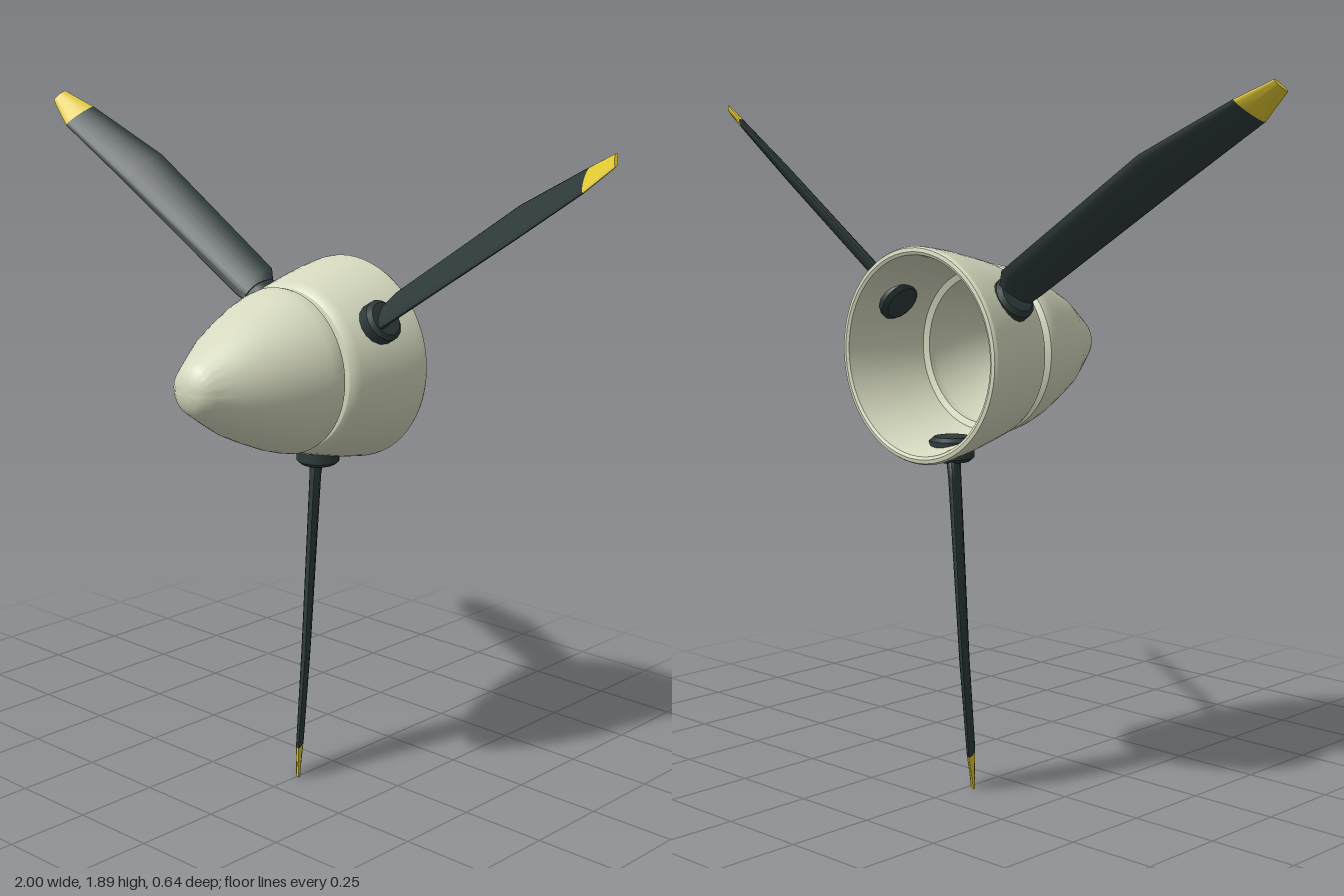
import * as THREE from 'three';
import { toCreasedNormals } from 'three/addons/utils/BufferGeometryUtils.js';

const cream = new THREE.MeshStandardMaterial({ name: 'cream paint', color: 0xd6d9bf });
const dark = new THREE.MeshStandardMaterial({ name: 'dark blade', color: 0x2e3a3a });
const yellow = new THREE.MeshStandardMaterial({ name: 'yellow tip', color: 0xe0c832 });

function mesh(name, geometry, material) {
  const m = new THREE.Mesh(geometry, material);
  m.name = name;
  return m;
}

// Revolve [radius, z] points around the z axis
function turned(name, points) {
  const g = new THREE.LatheGeometry(points.map(([r, z]) => new THREE.Vector2(r, z)), 64);
  g.rotateX(Math.PI / 2);
  return mesh(name, toCreasedNormals(g, 0.5), cream);
}

// Blade sections: distance from hub axis, trailing edge (x, z), leading edge (x, z), half thickness
const SECTIONS = [
  [0.27, 0.022, -0.155, -0.030, -0.222, 0.020],
  [0.325, 0.025, -0.145, -0.055, -0.245, 0.016],
  [0.835, 0.031, -0.107, -0.059, -0.211, 0.013],
  [1.105, 0.033, -0.078, -0.029, -0.158, 0.010],
  [1.205, 0.019, -0.095, -0.014, -0.125, 0.006],
];

// Skin a run of sections; side = -1 mirrors the blade
function loft(sections, side, stretch) {
  const N = 20, pos = [], index = [];
  const ring = ([d, x1, z1, x2, z2, h]) => {
    const cx = side * (x1 + x2) / 2, cz = (z1 + z2) / 2;
    const ax = side * (x1 - x2) / 2, az = (z1 - z2) / 2, len = Math.hypot(ax, az);
    for (let i = 0; i < N; i++) {
      const c = Math.cos(i / N * Math.PI * 2), s = Math.sin(i / N * Math.PI * 2) * h / len;
      pos.push(cx + ax * c - az * s, -d * stretch, cz + az * c + ax * s);
    }
  };
  sections.forEach(ring);
  for (let j = 0; j < sections.length - 1; j++) {
    for (let i = 0; i < N; i++) {
      const a = j * N + i, b = j * N + (i + 1) % N;
      index.push(a, b, a + N, b, b + N, a + N);
    }
  }
  // End caps
  const last = (sections.length - 1) * N;
  for (let i = 1; i < N - 1; i++) {
    index.push(0, i + 1, i, last, last + i, last + i + 1);
  }
  const g = new THREE.BufferGeometry();
  g.setAttribute('position', new THREE.Float32BufferAttribute(pos, 3));
  g.setIndex(index);
  return toCreasedNormals(g, 0.7);
}

function makeBlade(name, degrees, side, stretch) {
  const blade = new THREE.Group();
  blade.name = name;
  blade.add(mesh('bladeBody', loft(SECTIONS.slice(0, 4), side, stretch), dark));
  blade.add(mesh('bladeTip', loft(SECTIONS.slice(3), side, stretch), yellow));
  // Chamfered collar passing through the hub wall
  const profile = [[0, -0.288], [0.048, -0.288], [0.06, -0.278], [0.06, -0.232], [0.048, -0.222], [0, -0.222]];
  const collar = new THREE.LatheGeometry(profile.map(([r, y]) => new THREE.Vector2(r, y)), 16);
  const c = mesh('bladeCollar', toCreasedNormals(collar, 0.5), dark);
  c.position.z = -0.19;
  blade.add(c);
  blade.rotation.z = THREE.MathUtils.degToRad(degrees);
  return blade;
}

export function createModel() {
  const model = new THREE.Group();
  model.name = 'propeller';
  const hub = new THREE.Group();
  hub.name = 'hub';
  hub.position.set(-0.011, 1.205, 0);
  model.add(hub);

  // Hollow nose cone: inside from the apex back, then outside forward
  hub.add(turned('spinner', [
    [0, 0.29], [0.04, 0.275], [0.095, 0.195], [0.15, 0.1], [0.185, 0.02], [0.198, -0.06],
    [0.208, -0.06], [0.216, -0.055], [0.226, -0.048], [0.228, -0.038], [0.222, -0.01],
    [0.206, 0.04], [0.174, 0.115], [0.145, 0.175], [0.113, 0.225], [0.078, 0.278],
    [0.064, 0.298], [0.046, 0.31], [0.024, 0.317], [0, 0.319],
  ]));

  // Flared rear shell, open at the back
  hub.add(turned('rearShell', [
    [0.198, -0.058], [0.198, -0.078], [0.215, -0.085], [0.235, -0.19], [0.255, -0.29], [0.262, -0.316],
    [0.27, -0.32], [0.28, -0.318], [0.284, -0.31], [0.283, -0.295], [0.272, -0.23],
    [0.256, -0.16], [0.24, -0.098], [0.233, -0.08], [0.222, -0.07], [0.208, -0.067], [0.208, -0.058],
  ]));

  hub.add(makeBlade('lowerBlade', 0, 1, 1));
  hub.add(makeBlade('rightBlade', -124.6, 1, 0.988));
  hub.add(makeBlade('leftBlade', 122.8, -1, 0.988));
  return model;
}
